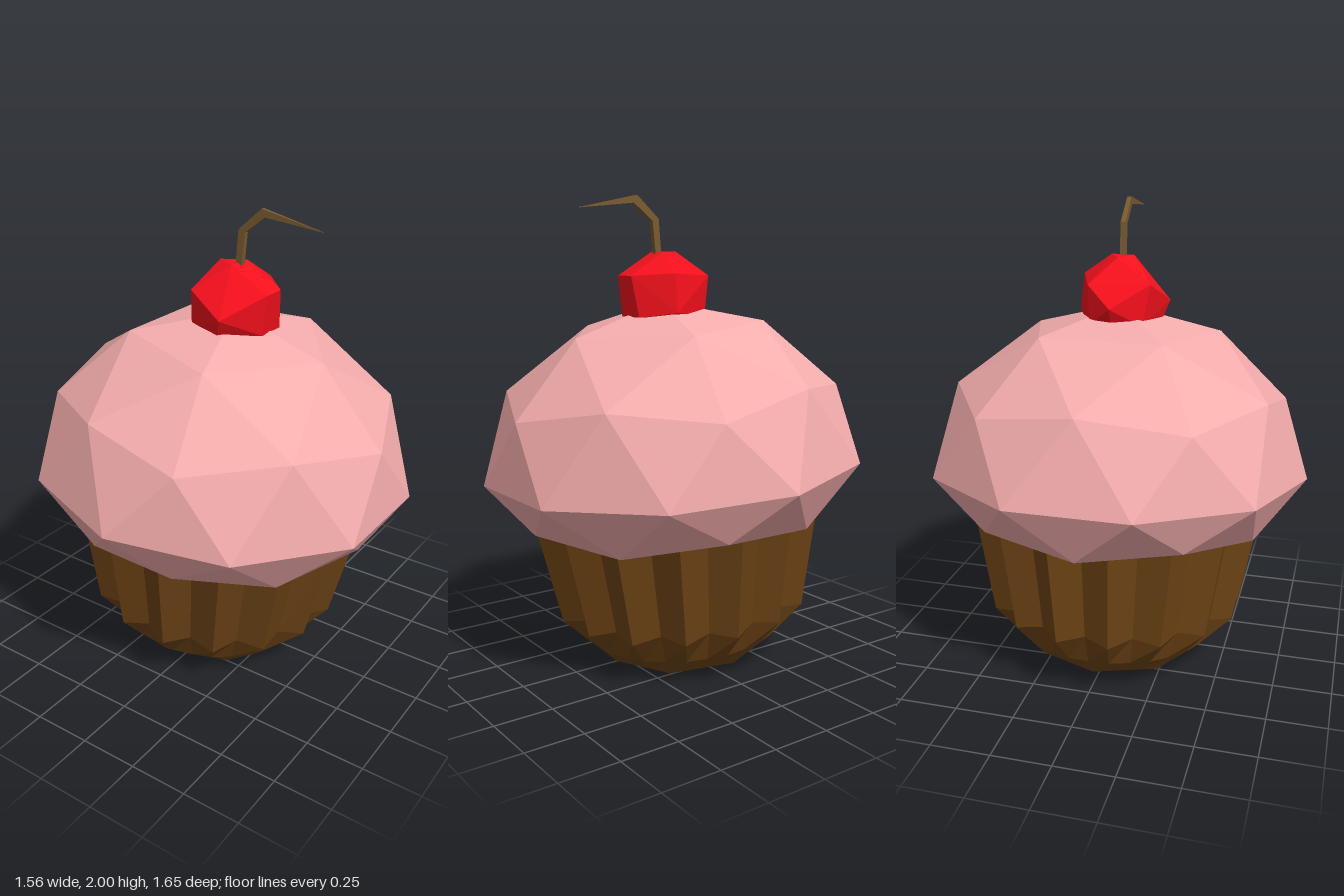
import * as THREE from 'three';
import { ConvexGeometry } from 'three/addons/geometries/ConvexGeometry.js';

const mat = (color, side = THREE.FrontSide) =>
  new THREE.MeshStandardMaterial({ color, flatShading: true, side });

function part(name, geometry, material) {
  const mesh = new THREE.Mesh(geometry, material);
  mesh.name = name;
  return mesh;
}

// Skin closed loops of equal length; loops run from bottom to top, counter-clockwise about +y
function skin(loops) {
  const n = loops[0].length, index = [];
  for (let j = 0; j < loops.length - 1; j++)
    for (let i = 0; i < n; i++) {
      const a = j * n + i, b = j * n + (i + 1) % n;
      index.push(a, a + n, b, b, a + n, b + n);
    }
  const geometry = new THREE.BufferGeometry().setFromPoints(loops.flat());
  geometry.setIndex(index);
  const flat = geometry.toNonIndexed();
  flat.computeVertexNormals();
  return flat;
}

const polar = (r, y, degrees) => {
  const a = THREE.MathUtils.degToRad(degrees);
  return new THREE.Vector3(r * Math.cos(a), y, r * Math.sin(a));
};

// Faceted dome: rings of a subdivided icosahedron, squashed, with a flat underside
function frostingGeometry() {
  const rings = [ // count, radius, height, first angle
    [5, 0.431, 0.59, 0], [5, 0.733, 0.295, 0], [5, 0.698, 0.355, 36],
    [10, 0.825, 0, 18], [5, 0.695, -0.18, 0], [5, 0.665, -0.225, 36],
  ];
  const points = [new THREE.Vector3(0, 0.7, 0)];
  for (const [n, r, y, start] of rings)
    for (let i = 0; i < n; i++) points.push(polar(r, y, start + i * 360 / n));
  return new ConvexGeometry(points);
}

// Cup with 16 pleats that fade into an eight-sided base
function wrapperGeometry() {
  const columns = 32;
  const rows = [ // outer radius, inner radius, outer height, inner height
    [0.001, 0.001, -0.84, -0.84], [0.365, 0.365, -0.84, -0.84],
    [0.45, 0.445, -0.75, -0.75], [0.56, 0.505, -0.63, -0.61],
    [0.645, 0.57, -0.175, -0.22],
  ];
  return skin(rows.map(([ro, ri, yo, yi], j) =>
    Array.from({ length: columns }, (_, i) => {
      const octagon = Math.cos(Math.PI / 8) / Math.cos(((i % 4) / 4 - 0.5) * Math.PI / 4);
      const r = (i % 2 ? ro : ri) * (j < 2 ? octagon : 1);
      return polar(r, i % 2 ? yo : yi, i * 360 / columns);
    })));
}

// Irregular faceted fruit
function cherryGeometry() {
  return new ConvexGeometry([
    [-0.02, 1.77, 0], [0.08, 1.77, -0.05], [0.07, 1.77, 0.05],
    [-0.16, 1.58, 0], [-0.12, 1.67, -0.1], [-0.06, 1.67, 0.15],
    [0.11, 1.68, -0.18], [0.11, 1.52, -0.2], [0.11, 1.58, 0.2],
    [0.24, 1.67, -0.05], [0.24, 1.67, 0.05], [0.22, 1.5, 0.05], [0.22, 1.5, -0.08],
    [-0.1, 1.5, -0.1], [-0.08, 1.5, 0.12], [0.08, 1.5, 0.17], [-0.13, 1.52, 0],
  ].map(p => new THREE.Vector3(...p)));
}

// Bent stalk with a four-sided section that tapers to a point
function stemGeometry() {
  const stations = [ // x, y, half width, half depth, section tilt
    [0.075, 1.74, 0.014, 0.012, 0], [0.09, 1.9, 0.016, 0.011, -0.3],
    [0.188, 1.982, 0.018, 0.009, -1.1], [0.45, 1.94, 0.001, 0.001, -1.7],
  ];
  return skin(stations.map(([x, y, w, d, tilt]) =>
    [[1, 1], [-1, 1], [-1, -1], [1, -1]].map(([sx, sz]) =>
      new THREE.Vector3(x + sx * w * Math.cos(tilt), y + sx * w * Math.sin(tilt), sz * d))));
}

export function createModel() {
  const model = new THREE.Group();
  model.name = 'cupcake';

  // The cake leans slightly to its left
  const cake = new THREE.Group();
  cake.name = 'cake';
  cake.position.y = 0.865;
  cake.rotation.z = -0.08;
  cake.add(
    part('frosting', frostingGeometry(), mat(0xf4acac)),
    part('wrapper', wrapperGeometry(), mat(0x6e4415, THREE.DoubleSide)),
  );

  model.add(
    cake,
    part('cherry', cherryGeometry(), mat(0xf5101c)),
    part('cherryStem', stemGeometry(), mat(0x7a5a30, THREE.DoubleSide)),
  );
  return model;
}
